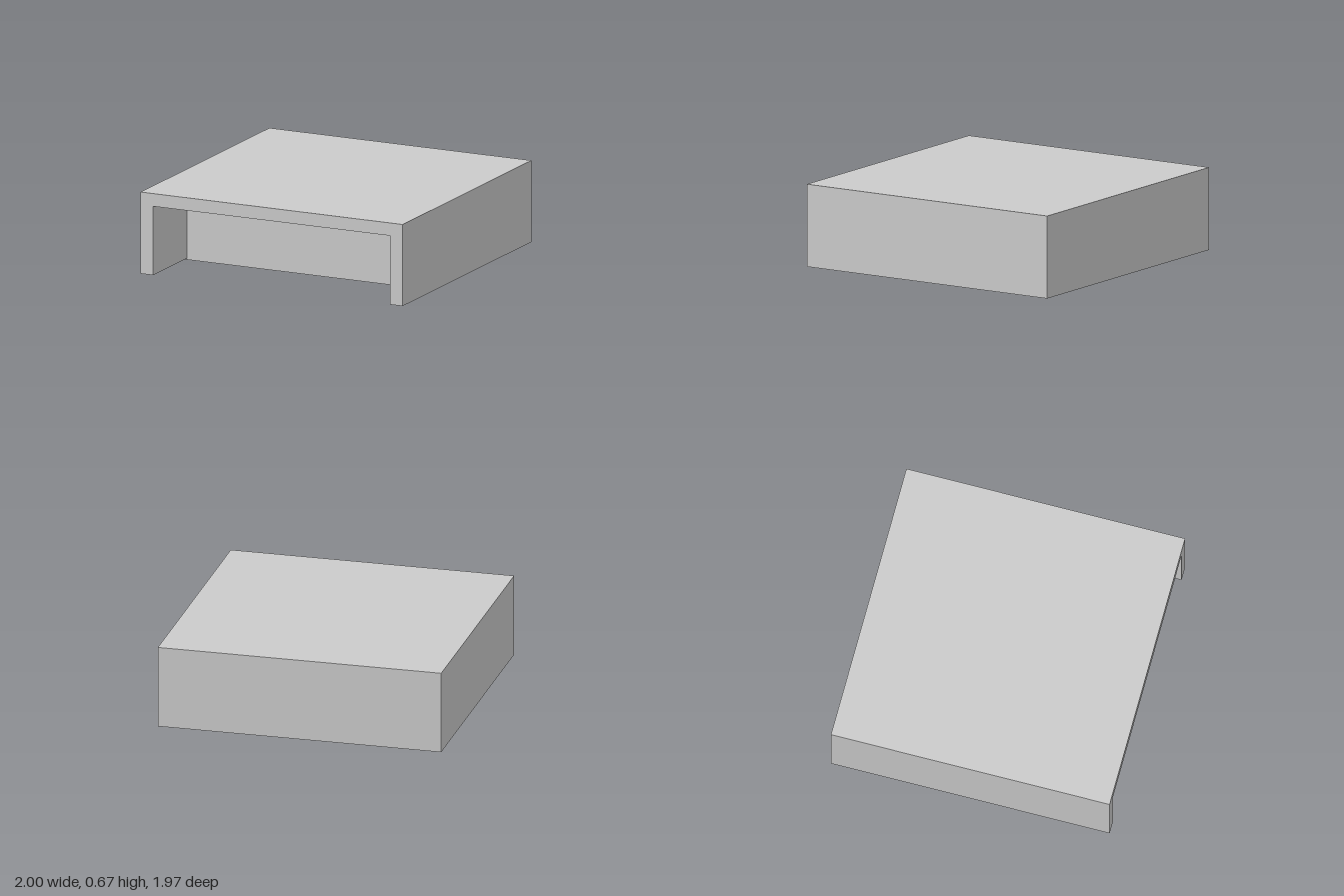
import * as THREE from 'three';

const grey = new THREE.MeshStandardMaterial({ color: 0xcccccc });
const black = new THREE.MeshStandardMaterial({ color: 0x050505 });

// Box given by its minimum and maximum corners
function slab(name, [x0, y0, z0], [x1, y1, z1], material = grey) {
  const mesh = new THREE.Mesh(new THREE.BoxGeometry(x1 - x0, y1 - y0, z1 - z0), material);
  mesh.position.set((x0 + x1) / 2, (y0 + y1) / 2, (z0 + z1) / 2);
  mesh.name = name;
  return mesh;
}

export function createModel() {
  const group = new THREE.Group();
  group.name = 'cabinet';
  const half = 0.985, bottom = 0.09, ceiling = 0.575, top = 0.665, inner = 0.905;

  // Top and both side walls: one inverted U extruded from back to front
  const profile = new THREE.Shape([
    [-1, bottom], [-inner, bottom], [-inner, ceiling], [inner, ceiling],
    [inner, bottom], [1, bottom], [1, top], [-1, top],
  ].map(([x, y]) => new THREE.Vector2(x, y)));
  const shell = new THREE.Mesh(
    new THREE.ExtrudeGeometry(profile, { depth: 2 * half, bevelEnabled: false }), grey);
  shell.position.z = -half;
  shell.name = 'shell';
  group.add(shell);

  // Back wall closing the shell
  group.add(slab('backWall', [-inner, bottom, -half], [inner, ceiling, -half + 0.095]));

  // Thin recessed panel behind the front opening, with a dark plate on its rear
  group.add(slab('recessedPanel', [-0.945, 0.08, 0.45], [0.96, 0.565, 0.465]));
  group.add(slab('darkPlate', [-0.37, 0.164, 0.445], [0.26, 0.477, 0.45], black));

  // Hanging block with a narrower plate on its front
  group.add(slab('hangingBlock', [-0.4, 0, -0.47], [0.43, ceiling, -0.012]));
  group.add(slab('blockFrontPlate', [-0.3, 0, -0.012], [0.325, 0.42, -0.003]));

  return group;
}
